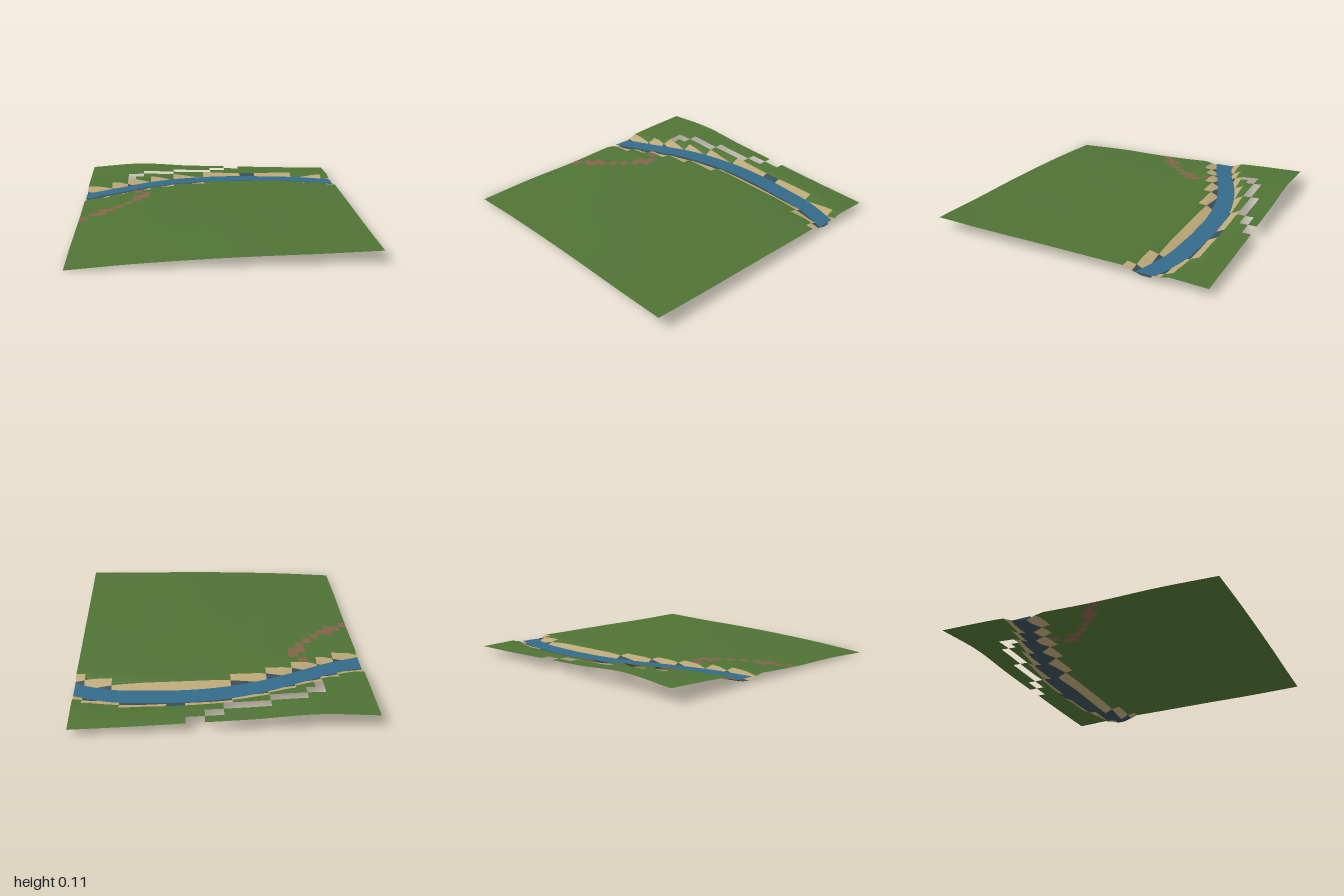
import * as THREE from 'three';

const N = 32; // cells per side

// Coarse height field: rows run from back (z = -1) to front, columns from x = -1 to 1
const HEIGHTS = [
  [0.085, 0.110, 0.085, 0.070, 0.055, 0.045],
  [0.070, 0.080, 0.075, 0.070, 0.065, 0.060],
  [0.040, 0.062, 0.073, 0.073, 0.073, 0.065],
  [0.022, 0.058, 0.070, 0.078, 0.072, 0.070],
  [0.018, 0.045, 0.063, 0.075, 0.070, 0.073],
  [0.000, 0.030, 0.050, 0.063, 0.070, 0.082],
];

// Smooth curve through evenly spaced values, t in 0..1
function spline(values, t) {
  const f = t * (values.length - 1);
  const i = Math.min(Math.floor(f), values.length - 2), u = f - i;
  const b = values[i], c = values[i + 1];
  const a = values[i - 1] ?? 2 * b - c, d = values[i + 2] ?? 2 * c - b;
  return b + 0.5 * u * (c - a + u * (2 * a - 5 * b + 4 * c - d + u * (3 * (b - c) + d - a)));
}
const ground = (x, z) =>
  spline(HEIGHTS.map((row) => spline(row, (x + 1) / 2)), (z + 1) / 2);

// River centre line z for x = -1, -0.75 ... 1
const RIVER = [-0.35, -0.44, -0.55, -0.635, -0.685, -0.7, -0.69, -0.665, -0.59];
const riverZ = (x) => spline(RIVER, (x + 1) / 2);

// Ground with the river channel cut into it
function terrain(x, z) {
  const d = Math.abs(z - riverZ(x));
  return ground(x, z) - 0.038 * THREE.MathUtils.clamp((0.125 - d) / 0.065, 0, 1);
}

// Banks: first column, end column, first row, end row
const BANKS = [
  [0, 3, 8, 12], [3, 5, 7, 11], [5, 8, 6, 10], [8, 11, 5, 9], [11, 15, 4, 8], [15, 27, 3, 7],
  [27, 28, 4, 7], [28, 31, 4, 8], [31, 32, 5, 9],
];
// Dirt path and open trench: first column, end column, first row, end row
const PATH = [
  [6, 7, 10, 11], [7, 8, 11, 13], [6, 7, 12, 14], [5, 6, 14, 15], [4, 5, 15, 16],
  [2, 4, 16, 17], [1, 3, 17, 18], [0, 1, 18, 19],
];
const TRENCH = [
  [5, 7, 4, 5], [5, 6, 5, 6], [7, 11, 3, 4], [11, 16, 2, 3], [16, 18, 1, 2], [18, 20, 0, 1],
];
const inside = (list, i, j) =>
  list.find(([i0, i1, j0, j1]) => i >= i0 && i < i1 && j >= j0 && j < j1);

// 0 grass, 1 sand, 2 river bed, 3 dirt, -1 open
function cellKind(i, j) {
  if (inside(TRENCH, i, j)) return -1;
  if (inside(PATH, i, j)) return 3;
  const bank = inside(BANKS, i, j);
  if (!bank) return 0;
  const gap = j === bank[2] && (i === 20 || i === 21);
  return !gap && (j === bank[2] || j === bank[3] - 1) ? 1 : 2;
}

// Cell surface with smooth normals, split into one group per colour
function terrainGeometry() {
  const geo = new THREE.PlaneGeometry(2, 2, N, N).rotateX(-Math.PI / 2);
  const p = geo.attributes.position;
  for (let k = 0; k < p.count; k++) p.setY(k, terrain(p.getX(k), p.getZ(k)));
  geo.computeVertexNormals();
  const old = geo.index.array, faces = [[], [], [], []];
  for (let j = 0; j < N; j++) {
    for (let i = 0; i < N; i++) {
      const kind = cellKind(i, j), at = 6 * (j * N + i);
      if (kind >= 0) faces[kind].push(...old.slice(at, at + 6));
    }
  }
  geo.setIndex(faces.flat());
  let start = 0;
  faces.forEach((list, m) => {
    geo.addGroup(start, list.length, m);
    start += list.length;
  });
  return geo;
}

// Water ribbon following the channel, a little below the banks
function waterGeometry() {
  const geo = new THREE.PlaneGeometry(2, 2, 64, 2).rotateX(-Math.PI / 2);
  const p = geo.attributes.position;
  for (let k = 0; k < p.count; k++) {
    const x = p.getX(k), c = riverZ(x);
    p.setXYZ(k, x, ground(x, c) - 0.02, c + p.getZ(k) * 0.066);
  }
  geo.computeVertexNormals();
  return geo;
}

export function createModel() {
  const mat = (name, color) =>
    new THREE.MeshStandardMaterial({ name, color, side: THREE.DoubleSide });
  const group = new THREE.Group();
  group.name = 'riverLandscape';

  const land = new THREE.Mesh(terrainGeometry(), [
    mat('grass', 0x4f7335), mat('sand', 0xbca878), mat('riverBed', 0x3a4f58), mat('dirt', 0x84644a),
  ]);
  land.name = 'terrain';

  const water = new THREE.Mesh(waterGeometry(), mat('water', 0x336b8a));
  water.name = 'river';

  group.add(land, water);
  return group;
}
